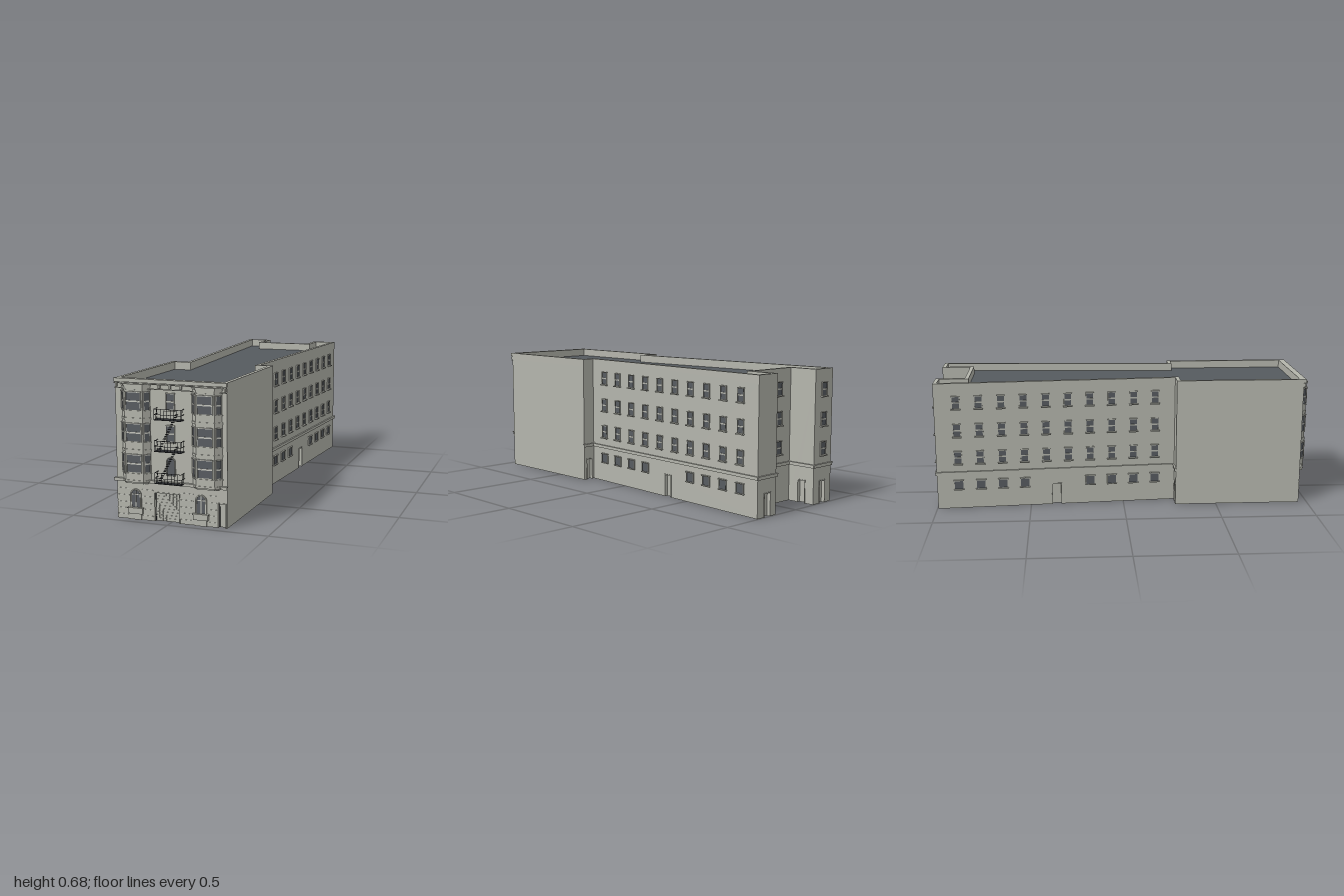
import * as THREE from 'three';

const mat = (name, color, side = THREE.FrontSide) => {
  const m = new THREE.MeshStandardMaterial({ color, side });
  m.name = name;
  return m;
};

export function createModel() {
  const stone = mat('stone', 0xb4b5ac);
  const wallStone = mat('wallStone', 0xb4b5ac, THREE.DoubleSide);
  const trim = mat('lightTrim', 0xc6c7bf);
  const glass = mat('glass', 0x575b60);
  const roofing = mat('roofing', 0x555a5f, THREE.DoubleSide);
  const iron = mat('iron', 0x2b2d31);

  const model = new THREE.Group();
  model.name = 'building';
  const add = (parent, name, geo, m) => {
    const mesh = new THREE.Mesh(geo, m);
    mesh.name = name;
    parent.add(mesh);
    return mesh;
  };
  const box = (parent, name, m, w, h, d, x, y, z) => {
    const b = add(parent, name, new THREE.BoxGeometry(w, h, d), m);
    b.position.set(x, y, z);
    return b;
  };
  const group = (parent, name, x = 0, y = 0, z = 0, ry = 0) => {
    const g = new THREE.Group();
    g.name = name;
    g.position.set(x, y, z);
    g.rotation.y = ry;
    parent.add(g);
    return g;
  };
  // Plan outlines are [x, z] pairs
  const plan = pts => new THREE.Shape(pts.map(([x, z]) => new THREE.Vector2(x, -z)));
  const prism = (shape, y0, y1) => new THREE.ExtrudeGeometry(shape, { depth: y1 - y0, bevelEnabled: false })
    .rotateX(-Math.PI / 2).translate(0, y0, 0);

  const outline = [[-0.28, 0.955], [0.285, 0.955], [0.285, 0.28], [0.215, 0.28], [0.285, -0.995], [0.15, -0.995],
    [0.15, -0.84], [-0.145, -0.84], [-0.145, -0.995], [-0.285, -0.995], [-0.19, 0.28], [-0.28, 0.28]];
  const N = outline.length, ROOF = 0.642, TOP = 0.683;

  // Mitred inset of the outline for the parapet
  const inset = t => outline.map(([x, z], i) => {
    const p = outline[(i + N - 1) % N], n = outline[(i + 1) % N];
    const a = new THREE.Vector2(x - p[0], z - p[1]).normalize();
    const b = new THREE.Vector2(n[0] - x, n[1] - z).normalize();
    const k = t / (1 + a.dot(b));
    return [x + (a.y + b.y) * k, z - (a.x + b.x) * k];
  });
  const rim = plan(outline);
  const inner = inset(0.02);
  rim.holes.push(new THREE.Path(inner.map(([x, z]) => new THREE.Vector2(x, -z))));
  add(model, 'parapet', prism(rim, ROOF, TOP), stone);
  add(model, 'roof', new THREE.ShapeGeometry(plan(inner)).rotateX(-Math.PI / 2).translate(0, ROOF, 0), roofing);

  // Walls: local x runs along the wall, local z points outward; doors are [centre, width, height]
  const wall = (i, name, doors = []) => {
    const [x0, z0] = outline[i], [x1, z1] = outline[(i + 1) % N];
    const L = Math.hypot(x1 - x0, z1 - z0);
    const g = group(model, name, x0, 0, z0, Math.atan2(z0 - z1, x1 - x0));
    const s = new THREE.Shape();
    s.moveTo(0, 0);
    for (const [c, w, h] of doors) {
      s.lineTo(c - w / 2, 0); s.lineTo(c - w / 2, h); s.lineTo(c + w / 2, h); s.lineTo(c + w / 2, 0);
    }
    s.lineTo(L, 0); s.lineTo(L, ROOF); s.lineTo(0, ROOF);
    add(g, name + 'Face', new THREE.ShapeGeometry(s), wallStone);
    for (const [c, w, h] of doors) {
      const d = group(g, 'door', c);
      box(d, 'doorLeaf', stone, w, h, 0.004, 0, h / 2, -0.018);
      for (const k of [-1, 1]) box(d, 'doorJamb', stone, 0.004, h + 0.004, 0.023, k * w / 2, h / 2 + 0.002, -0.0085);
      box(d, 'doorHead', stone, w, 0.004, 0.023, 0, h + 0.002, -0.0085);
    }
    if (i >= 2 && i <= 10) {
      box(g, 'wallBand', stone, L + 0.01, 0.014, 0.008, L / 2, 0.194, 0.003);
      box(g, 'wallBandLip', stone, L + 0.016, 0.004, 0.012, L / 2, 0.202, 0.003);
    }
    g.userData.length = L;
    return g;
  };

  // Two-pane sash window with frame and sill
  const sash = (g, u, y, w, h, sill = true, frame = stone) => {
    const win = group(g, 'window', u, y, 0);
    const ph = h / 2 - 0.004;
    for (const k of [-1, 1]) {
      box(win, 'pane', glass, w, ph, 0.004, 0, k * h / 4, 0.001);
      box(win, 'jamb', frame, 0.003, h, 0.008, k * (w / 2 + 0.0015), 0, 0.002);
    }
    box(win, 'meetingRail', frame, w, 0.007, 0.007, 0, 0, 0.002);
    box(win, 'lintel', frame, w + 0.008, 0.005, 0.01, 0, h / 2 + 0.001, 0.003);
    if (sill) box(win, 'sill', stone, w + 0.014, 0.006, 0.018, 0, -h / 2 - 0.003, 0.005);
  };
  const smallWindow = (g, u) => {
    box(g, 'lowWindowPane', glass, 0.045, 0.046, 0.004, u, 0.13, 0.001);
    for (const k of [-1, 1]) {
      box(g, 'lowWindowJamb', stone, 0.003, 0.046, 0.008, u + k * 0.024, 0.13, 0.002);
      box(g, 'lowWindowSill', stone, 0.056, 0.005, 0.014, u, 0.13 + k * 0.0255, 0.003);
    }
  };
  const floors = [0.281, 0.43, 0.58];
  const column = (g, u) => floors.forEach(y => sash(g, u, y, 0.036, 0.066));

  // Long side walls of the rear wing
  for (const [i, name, toU] of [[3, 'leftWingWall', t => t], [9, 'rightWingWall', t => 1 - t]]) {
    const L = Math.hypot(outline[i + 1][0] - outline[i][0], 1.275);
    const u = z => L * toU((0.28 - z) / 1.275);
    const g = wall(i, name, [[u(-0.36), 0.05, 0.115]]);
    for (let k = 0; k < 10; k++) {
      const z = 0.172 - k * 0.117;
      column(g, u(z));
      if (k < 4 || k > 5) smallWindow(g, u(z));
    }
  }
  // Plain sides, returns and the rear court
  wall(1, 'leftFrontBlockWall');
  wall(11, 'rightFrontBlockWall');
  wall(2, 'leftReturn', [[0.036, 0.04, 0.115]]);
  wall(10, 'rightReturn', [[0.05, 0.04, 0.115]]);
  wall(4, 'leftRearEnd', [[0.07, 0.045, 0.115]]);
  column(wall(5, 'leftCourtSide', [[0.08, 0.045, 0.115]]), 0.06);
  const court = wall(6, 'courtBack', [[0.145, 0.045, 0.115]]);
  [0.09, 0.205].forEach(u => column(court, u));
  wall(7, 'rightCourtSide', [[0.08, 0.045, 0.115]]);
  column(wall(8, 'rightRearEnd', [[0.07, 0.045, 0.115]]), 0.07);

  // Front wall, with the working origin shifted to x = 0
  const front = wall(0, 'frontWall', [[0.26, 0.13, 0.14], [0.538, 0.04, 0.115]]);
  const f = group(front, 'frontDetails', 0.28);
  for (let r = 0; r < 9; r++) for (let c = 0; c < 7; c++)
    box(f, 'gatePanel', stone, 0.016, 0.0135, 0.003, -0.02 + (c - 3) * 0.0178, 0.008 + r * 0.0154, -0.015);
  for (const k of [-1, 1]) box(f, 'gateRail', iron, 0.003, 0.138, 0.005, -0.02 + k * 0.0625, 0.069, -0.012);
  box(f, 'doorGap', iron, 0.003, 0.11, 0.003, 0.242, 0.056, -0.015);
  box(f, 'storeyBand', stone, 0.575, 0.012, 0.01, -0.002, 0.191, 0.004);
  box(f, 'storeyBandLip', stone, 0.578, 0.004, 0.016, -0.001, 0.199, 0.006);
  for (const y of [0.022, 0.053, 0.083, 0.117, 0.15])
    for (const [a, b] of [[-0.28, -0.215], [-0.15, -0.09], [0.05, 0.115], [0.197, 0.234]])
      box(f, 'courseLine', trim, b - a, 0.002, 0.003, (a + b) / 2, y, 0.0005);

  // Cornice
  box(f, 'frieze', stone, 0.567, 0.003, 0.01, 0.0025, 0.637, 0.004);
  box(f, 'corniceLower', stone, 0.567, 0.005, 0.012, 0.0025, 0.66, 0.005);
  box(f, 'corniceUpper', stone, 0.569, 0.018, 0.014, 0.0025, 0.674, 0.006);
  for (const x of [-0.27, -0.05, 0.004, 0.06, 0.279]) box(f, 'bracket', stone, 0.008, 0.016, 0.014, x, 0.65, 0.006);

  // Arched openings
  const arch = (w, h) => {
    const s = new THREE.Shape();
    s.moveTo(-w / 2, 0);
    s.lineTo(w / 2, 0);
    s.lineTo(w / 2, h - w / 2);
    s.absarc(0, h - w / 2, w / 2, 0, Math.PI, false);
    s.closePath();
    return s;
  };
  const archWindow = (x, y, w, h, rimW) => {
    const g = group(f, 'archedWindow', x, y, 0);
    add(g, 'archedGlass', new THREE.ShapeGeometry(arch(w, h)), glass).position.z = 0.002;
    const ring = arch(w + rimW * 2, h + rimW);
    ring.holes.push(new THREE.Path(arch(w, h).getPoints(10)));
    add(g, 'archSurround', new THREE.ExtrudeGeometry(ring, { depth: 0.008, bevelEnabled: false }), stone);
    return g;
  };
  for (const x of [-0.181, 0.155]) {
    const g = archWindow(x, 0.058, 0.046, 0.087, 0.006);
    box(g, 'mullion', trim, 0.004, 0.086, 0.004, 0, 0.043, 0.003);
    box(g, 'transom', trim, 0.046, 0.004, 0.004, 0, 0.066, 0.003);
    for (const k of [-1, 1]) box(g, 'sideFrame', trim, 0.002, 0.064, 0.004, k * 0.022, 0.032, 0.003);
    box(g, 'windowLedge', stone, 0.08, 0.005, 0.02, 0, 0, 0.008);
    box(g, 'windowApron', stone, 0.074, 0.026, 0.014, 0, -0.015, 0.006);
    box(g, 'windowPlinth', stone, 0.056, 0.03, 0.006, 0, -0.043, 0.002);
  }

  // Centre windows behind the fire escape
  archWindow(0.004, 0.23, 0.038, 0.085, 0.004);
  sash(f, 0.004, 0.43, 0.038, 0.076);
  sash(f, 0.004, 0.582, 0.038, 0.076);

  // Bay windows
  const bayPlan = g => plan([[-0.073 - g, 0], [-0.046 - g * 0.6, 0.03 + g], [0.046 + g * 0.6, 0.03 + g], [0.073 + g, 0]]
    );
  const flat = Math.atan2(0.03, 0.027);
  for (const x of [-0.172, 0.188]) {
    const b = group(f, 'bayWindow', x);
    add(b, 'bayBody', prism(bayPlan(0), 0.19, 0.66), stone);
    const bands = [[0.183, 0.19, -0.004], [0.19, 0.2, 0.003], [0.229, 0.234, 0.004], [0.338, 0.35, 0.003],
      [0.381, 0.386, 0.004], [0.489, 0.501, 0.003], [0.531, 0.536, 0.004], [0.63, 0.634, 0.002],
      [0.648, 0.655, 0.003], [0.655, 0.661, 0.006]];
    for (const [y0, y1, g] of bands) add(b, 'bayBand', prism(bayPlan(g), y0, y1), stone);
    const faces = [group(b, 'bayFront', 0, 0, 0.03)];
    for (const k of [-1, 1]) faces.push(group(b, 'baySide', k * 0.0595, 0, 0.015, k * flat));
    faces.forEach((face, n) => floors.forEach(y => sash(face, 0, y, n ? 0.025 : 0.072, 0.086, false, trim)));
  }

  // Fire escape: platforms, railings and stairs
  const escape = group(f, 'fireEscape', 0.005);
  const levels = [0.197, 0.35, 0.5];
  levels.forEach((y, n) => {
    const p = group(escape, 'platform', 0, y, 0);
    box(p, 'deck', iron, 0.136, 0.003, 0.043, 0, 0, 0.0225);
    for (const h of [0.025, 0.051]) {
      box(p, 'frontRail', iron, 0.136, 0.002, 0.002, 0, h, 0.043);
      for (const k of [-1, 1]) box(p, 'endRail', iron, 0.002, 0.002, 0.043, k * 0.067, h, 0.0225);
    }
    for (let i = 0; i <= 8; i++) box(p, 'baluster', iron, 0.0015, 0.05, 0.0015, -0.067 + i * 0.01675, 0.025, 0.043);
    for (const k of [-1, 1]) for (const z of [0.012, 0.028])
      box(p, 'endBaluster', iron, 0.0015, 0.05, 0.0015, k * 0.067, 0.025, z);
    if (n < 2) for (let i = 0; i < 15; i++)
      box(escape, 'step', iron, 0.01, 0.002, 0.016, -0.05 + i * 0.0062, y + 0.01 + i * 0.0118, 0.02);
  });
  return model;
}
